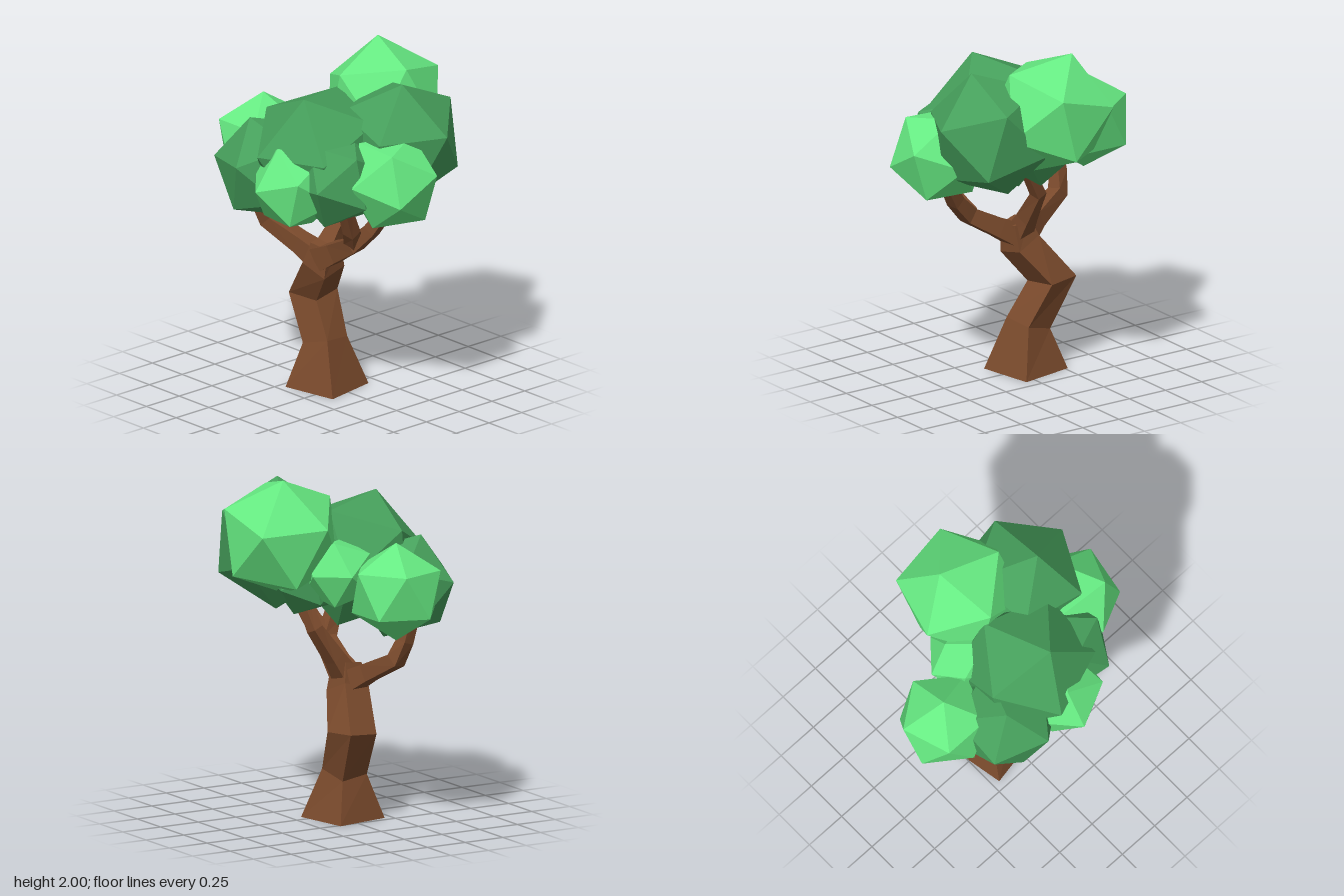
import * as THREE from 'three';

const V = (a) => new THREE.Vector3(...a);
const material = (color) => new THREE.MeshStandardMaterial({ color, flatShading: true, roughness: 1 });

// Square-section limb through points [x, y, z, halfWidth]
function limb(name, points, mat, startDir) {
  const pts = points.map((p) => new THREE.Vector3(p[0], p[1], p[2]));
  const pos = [], idx = [], last = pts.length - 1;
  pts.forEach((p, i) => {
    const t = new THREE.Vector3();
    if (i < last) t.add(pts[i + 1].clone().sub(p).normalize());
    if (i > 0) t.add(p.clone().sub(pts[i - 1]).normalize());
    if (i === 0 && startDir) t.copy(startDir);
    t.normalize();
    const u = new THREE.Vector3(0.98, 0, -0.18);
    u.addScaledVector(t, -u.dot(t)).normalize();
    const v = t.clone().cross(u);
    for (const [a, b] of [[1, 1], [-1, 1], [-1, -1], [1, -1]]) {
      const c = p.clone().addScaledVector(u, a * points[i][3]).addScaledVector(v, b * points[i][3]);
      pos.push(c.x, c.y, c.z);
    }
  });
  for (let i = 0; i < last; i++) {
    for (let j = 0; j < 4; j++) {
      const a = i * 4 + j, b = i * 4 + (j + 1) % 4;
      idx.push(a, b, b + 4, a, b + 4, a + 4);
    }
  }
  const e = last * 4;
  idx.push(0, 2, 1, 0, 3, 2, e, e + 1, e + 2, e, e + 2, e + 3);
  const geo = new THREE.BufferGeometry();
  geo.setAttribute('position', new THREE.Float32BufferAttribute(pos, 3));
  geo.setIndex(idx);
  geo.computeVertexNormals();
  const mesh = new THREE.Mesh(geo, mat);
  mesh.name = name;
  return mesh;
}

// Orthonormal frame from a main direction and a second one
function frame(a, b) {
  const x = a.clone().normalize();
  const y = b.clone().addScaledVector(x, -b.dot(x)).normalize();
  return new THREE.Matrix4().makeBasis(x, y, x.clone().cross(y));
}

// Leaf clump: icosahedron with one corner along "corner" and its neighbour towards "next"
const PHI = (1 + Math.sqrt(5)) / 2;
function clump(name, centre, radius, corner, next, mat) {
  const geo = new THREE.IcosahedronGeometry(radius, 0);
  const source = frame(V([-1, PHI, 0]), V([1, PHI, 0])).transpose();
  geo.applyMatrix4(frame(V(corner), V(next)).multiply(source));
  const mesh = new THREE.Mesh(geo, mat);
  mesh.position.set(...centre);
  mesh.name = name;
  return mesh;
}

export function createModel() {
  const tree = new THREE.Group();
  tree.name = 'tree';
  const bark = material(0x7a4a2c), light = material(0x66ea82), dark = material(0x469f5b);

  // Crooked trunk and its branches
  const wood = new THREE.Group();
  wood.name = 'wood';
  wood.add(
    limb('trunk', [
      [-0.01, 0, -0.073, 0.167], [-0.01, 0.27, -0.09, 0.09], [0.025, 0.52, -0.228, 0.098],
      [-0.05, 0.74, -0.06, 0.085], [-0.06, 0.88, -0.03, 0.06],
    ], bark, new THREE.Vector3(0, 1, 0)),
    limb('frontBranch', [
      [-0.06, 0.79, -0.05, 0.07], [-0.07, 0.86, 0.08, 0.055], [-0.1, 0.96, 0.26, 0.045],
      [-0.07, 1.07, 0.37, 0.038], [-0.03, 1.21, 0.46, 0.032],
    ], bark),
    limb('frontTwig', [
      [-0.1, 0.96, 0.25, 0.04], [-0.17, 1.06, 0.31, 0.036], [-0.25, 1.23, 0.34, 0.03],
    ], bark),
    limb('sideBranch', [
      [-0.05, 0.8, -0.05, 0.06], [0.03, 0.92, -0.05, 0.045], [0.155, 1.1, -0.04, 0.034],
      [0.18, 1.26, 0.05, 0.028],
    ], bark),
    limb('backBranch', [
      [-0.05, 0.77, -0.06, 0.065], [-0.1, 0.85, -0.2, 0.05], [-0.16, 0.95, -0.4, 0.042],
      [-0.2, 1.06, -0.43, 0.036], [-0.25, 1.22, -0.43, 0.034],
    ], bark),
  );

  // Crown of faceted leaf clumps
  const crown = new THREE.Group();
  crown.name = 'crown';
  crown.add(
    clump('topClump', [0.35, 1.652, 0.005], 0.365, [0.05, 0.33, -0.1], [0.3, 0.17, 0.13], light),
    clump('frontLargeClump', [0.188, 1.54, 0.318], 0.376, [-0.057, 0.357, 0.085], [0.033, 0.097, 0.36], dark),
    clump('middleClump', [-0.165, 1.468, 0.028], 0.403, [-0.15, 0.349, 0.047], [-0.09, 0.195, -0.345], dark),
    clump('frontSmallClump', [-0.04, 1.39, 0.507], 0.287, [0.115, 0.075, 0.257], [-0.145, 0.22, 0.125], light),
    clump('backClump', [-0.085, 1.38, -0.525], 0.282, [0, 1, 0], [0.25, 0.125, 0], light),
    clump('rightClump', [-0.395, 1.335, 0.08], 0.262, [-0.24, 0.01, -0.045], [-0.1, 0.22, -0.03], light),
    clump('backRightClump', [-0.295, 1.34, -0.25], 0.316, [-0.08, 0.28, -0.06], [-0.28, 0.05, 0.06], dark),
    clump('frontRightClump', [-0.23, 1.385, 0.27], 0.282, [-0.25, 0, 0.1], [-0.02, -0.1, 0.24], dark),
    clump('backSmallClump', [0.1, 1.45, -0.2], 0.215, [0.07, 0.19, -0.075], [0.035, 0.02, -0.19], light),
    clump('underClump', [0.19, 1.4, -0.015], 0.225, [0.07, -0.21, 0.03], [0.2, -0.08, -0.05], dark),
  );

  tree.add(wood, crown);
  return tree;
}
